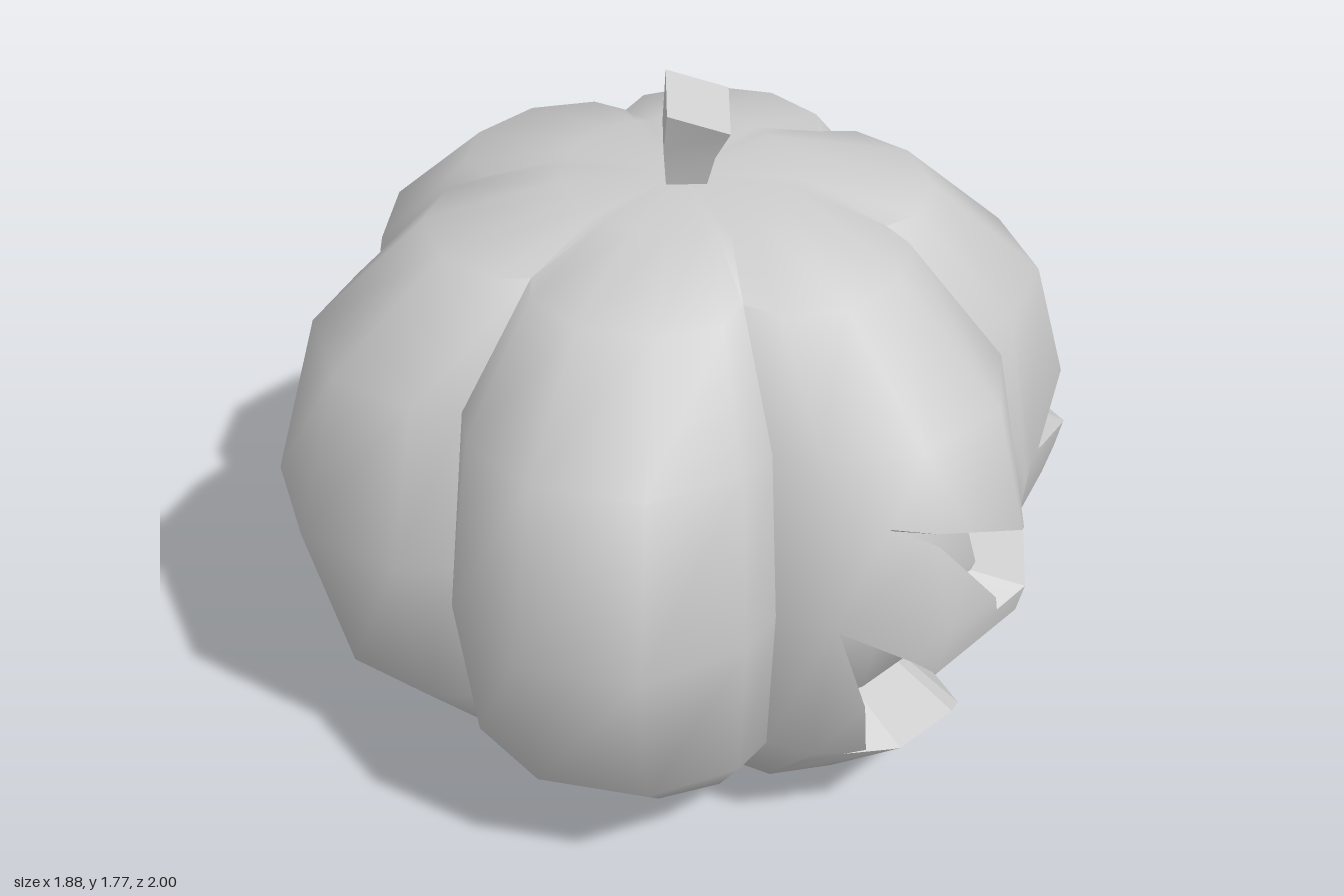
import * as THREE from 'three';
import { toCreasedNormals } from 'three/addons/utils/BufferGeometryUtils.js';

const grey = () => new THREE.MeshStandardMaterial({ color: 0xcccccc });
const RAD = Math.PI / 180;

// Profile rows: height, then radius at the lobe crest, lobe shoulder and groove
const ROWS = [
  [0.0, 0.29, 0.29, 0.28], [0.08, 0.62, 0.57, 0.5], [0.33, 0.9, 0.81, 0.73],
  [0.75, 1.01, 0.885, 0.78],
  [1.17, 0.9, 0.81, 0.73], [1.43, 0.62, 0.57, 0.5], [1.51, 0.29, 0.29, 0.28],
];
// The groove running through the face is filled in on the lower rows
const FACE_GROOVE = [0.28, 0.6, 0.83, 0.88, 0.74, 0.5, 0.28];

// Six-lobed body, with the face groove on +z
function bodyGeometry() {
  const rings = ROWS.map(([y, crest, shoulder, groove], i) => {
    const ring = [];
    for (let k = 0; k < 6; k++) {
      const steps = [[0, k ? groove : FACE_GROOVE[i]], [6.6, shoulder], [21.5, crest], [38.5, crest], [53.4, shoulder]];
      for (const [deg, r] of steps) {
        const a = (deg + 60 * k) * RAD;
        ring.push([r * Math.sin(a), y, r * Math.cos(a)]);
      }
    }
    return ring;
  });
  const pos = [], n = rings[0].length, last = rings.length - 1;
  const tri = (...p) => p.forEach((v) => pos.push(...v));
  for (let j = 0; j < n; j++) {
    const k = (j + 1) % n;
    for (let i = 0; i < last; i++) {
      tri(rings[i][j], rings[i][k], rings[i + 1][k]);
      tri(rings[i][j], rings[i + 1][k], rings[i + 1][j]);
    }
    tri([0, 0, 0], rings[0][k], rings[0][j]);
    tri([0, 1.51, 0], rings[last][j], rings[last][k]);
  }
  const g = new THREE.BufferGeometry();
  g.setAttribute('position', new THREE.Float32BufferAttribute(pos, 3));
  return toCreasedNormals(g, 0.95);
}

// A polygon is a list of [x, y, z, nx, ny, nz] vertices
function toPolygons(g) {
  const p = g.attributes.position.array, n = g.attributes.normal.array, polys = [];
  for (let i = 0; i < p.length; i += 9) {
    polys.push([0, 3, 6].map((o) => [...p.slice(i + o, i + o + 3), ...n.slice(i + o, i + o + 3)]));
  }
  return polys;
}

function toMesh(name, polys) {
  const pos = [], nor = [];
  for (const poly of polys) {
    for (let i = 1; i < poly.length - 1; i++) {
      for (const v of [poly[0], poly[i], poly[i + 1]]) {
        pos.push(...v.slice(0, 3));
        nor.push(...v.slice(3));
      }
    }
  }
  const g = new THREE.BufferGeometry();
  g.setAttribute('position', new THREE.Float32BufferAttribute(pos, 3));
  g.setAttribute('normal', new THREE.Float32BufferAttribute(nor, 3));
  const mesh = new THREE.Mesh(g, grey());
  mesh.name = name;
  return mesh;
}

// Signed distance from the line a-b, positive on its left
const side = (a, b, p) =>
  ((b[0] - a[0]) * (p[1] - a[1]) - (b[1] - a[1]) * (p[0] - a[0])) / Math.hypot(b[0] - a[0], b[1] - a[1]);

function split(poly, a, b) {
  const inner = [], outer = [];
  poly.forEach((p, i) => {
    const q = poly[(i + 1) % poly.length], dp = side(a, b, p), dq = side(a, b, q);
    if (dp >= -1e-7) inner.push(p);
    if (dp <= 1e-7) outer.push(p);
    if ((dp > 1e-7 && dq < -1e-7) || (dp < -1e-7 && dq > 1e-7)) {
      const cut = p.map((v, c) => v + (q[c] - v) * dp / (dp - dq));
      inner.push(cut);
      outer.push(cut);
    }
  });
  return [inner, outer];
}

// Only the front-facing side of the two face lobes is carved
const onFace = (poly) => {
  const [x, z] = [0, 2].map((c) => poly.reduce((s, v) => s + v[c], 0));
  return Math.atan2(Math.abs(x), z) < 53.4 * RAD;
};

// Cut a convex counter-clockwise stencil out of the shell
function carve(shell, stencil) {
  const kept = [], removed = [];
  for (const poly of shell) {
    let rest = onFace(poly) ? poly : [];
    const scraps = [];
    for (let i = 0; i < stencil.length && rest.length > 2; i++) {
      const [inner, outer] = split(rest, stencil[i], stencil[(i + 1) % stencil.length]);
      if (outer.length > 2) scraps.push(outer);
      rest = inner;
    }
    if (rest.length > 2) {
      kept.push(...scraps);
      removed.push(rest);
    } else kept.push(poly);
  }
  return { kept, removed };
}

function onRim(outline, p, q) {
  const m = [(p[0] + q[0]) / 2, (p[1] + q[1]) / 2];
  return outline.some((a, i) => {
    const b = outline[(i + 1) % outline.length], dx = b[0] - a[0], dy = b[1] - a[1];
    const t = ((m[0] - a[0]) * dx + (m[1] - a[1]) * dy) / (dx * dx + dy * dy);
    return t > 0 && t < 1 && Math.abs(side(a, b, p)) < 1e-5 && Math.abs(side(a, b, q)) < 1e-5;
  });
}

// Sunken back plus flat walls joining it to the rim
function pocket(pieces, outline, sink) {
  const out = [];
  const deep = (v) => [...sink(v), ...v.slice(3)];
  for (const piece of pieces) {
    out.push(piece.map(deep));
    piece.forEach((p, i) => {
      const q = piece[(i + 1) % piece.length];
      if (!onRim(outline, p, q)) return;
      const quad = [p, q, deep(q), deep(p)];
      const [a, b, c, d] = quad.map((v) => new THREE.Vector3(v[0], v[1], v[2]));
      const n = c.sub(a).cross(d.sub(b)).normalize();
      out.push(quad.map((v) => [...v.slice(0, 3), n.x, n.y, n.z]));
    });
  }
  return out;
}

const mirror = (pts) => pts.map(([x, y]) => [-x, y]).reverse();

// Stem: four-sided, flaring, leaning forward with a slanted top
function stem() {
  const g = new THREE.CylinderGeometry(0.105, 0.067, 0.22, 4, 2);
  const p = g.attributes.position;
  for (let i = 0; i < p.count; i++) {
    const t = p.getY(i) / 0.22 + 0.5, z = p.getZ(i);
    p.setY(i, 1.5 + t * 0.217 - t * z * 0.46);
    p.setZ(i, z + 0.015 + 0.04 * t * t);
  }
  const mesh = new THREE.Mesh(toCreasedNormals(g.toNonIndexed(), 0.9), grey());
  mesh.name = 'stem';
  return mesh;
}

export function createModel() {
  const model = new THREE.Group();
  model.name = 'pumpkin';
  const carved = new THREE.Group();
  carved.name = 'carvedBody';
  carved.rotation.y = 30 * RAD;
  let shell = toPolygons(bodyGeometry());

  const cutPocket = (name, stencils, outline, sink) => {
    const pieces = [];
    for (const s of stencils) {
      const { kept, removed } = carve(shell, s);
      shell = kept;
      pieces.push(...removed);
    }
    carved.add(toMesh(name, pocket(pieces, outline, sink)));
  };

  // Slanted triangular eyes
  const eye = [[0.62, 1.0], [0.15, 0.755], [0.45, 0.69]];
  for (const s of [1, -1]) {
    const pts = s > 0 ? eye : mirror(eye);
    const sink = ([x, y, z]) => [s * 0.41 + (x - s * 0.41) * 0.7, 0.82 + (y - 0.82) * 0.7, z - 0.13];
    cutPocket(s > 0 ? 'leftEye' : 'rightEye', [pts], pts, sink);
  }

  // Jagged grin, cut as convex pieces on each half
  const top = [[0, 0.51], [0.353, 0.63], [0.6, 0.59], [0.705, 0.75]];
  const low = [[0, 0.17], [0.37, 0.3], [0.594, 0.3]];
  const half = [
    [low[0], low[1], top[1], top[0]],
    [low[1], low[2], top[2], top[1]],
    [low[2], top[3], top[2]],
  ];
  const right = [...low, ...top.slice().reverse()];
  const outline = [...right, ...mirror(right).slice(1, -1)];
  cutPocket('mouth', [...half, ...half.map(mirror)], outline,
    ([x, y, z]) => [x * 0.8, 0.66 + (y - 0.66) * 0.8, z * 0.8]);

  carved.add(toMesh('shell', shell));
  model.add(carved, stem());
  return model;
}
